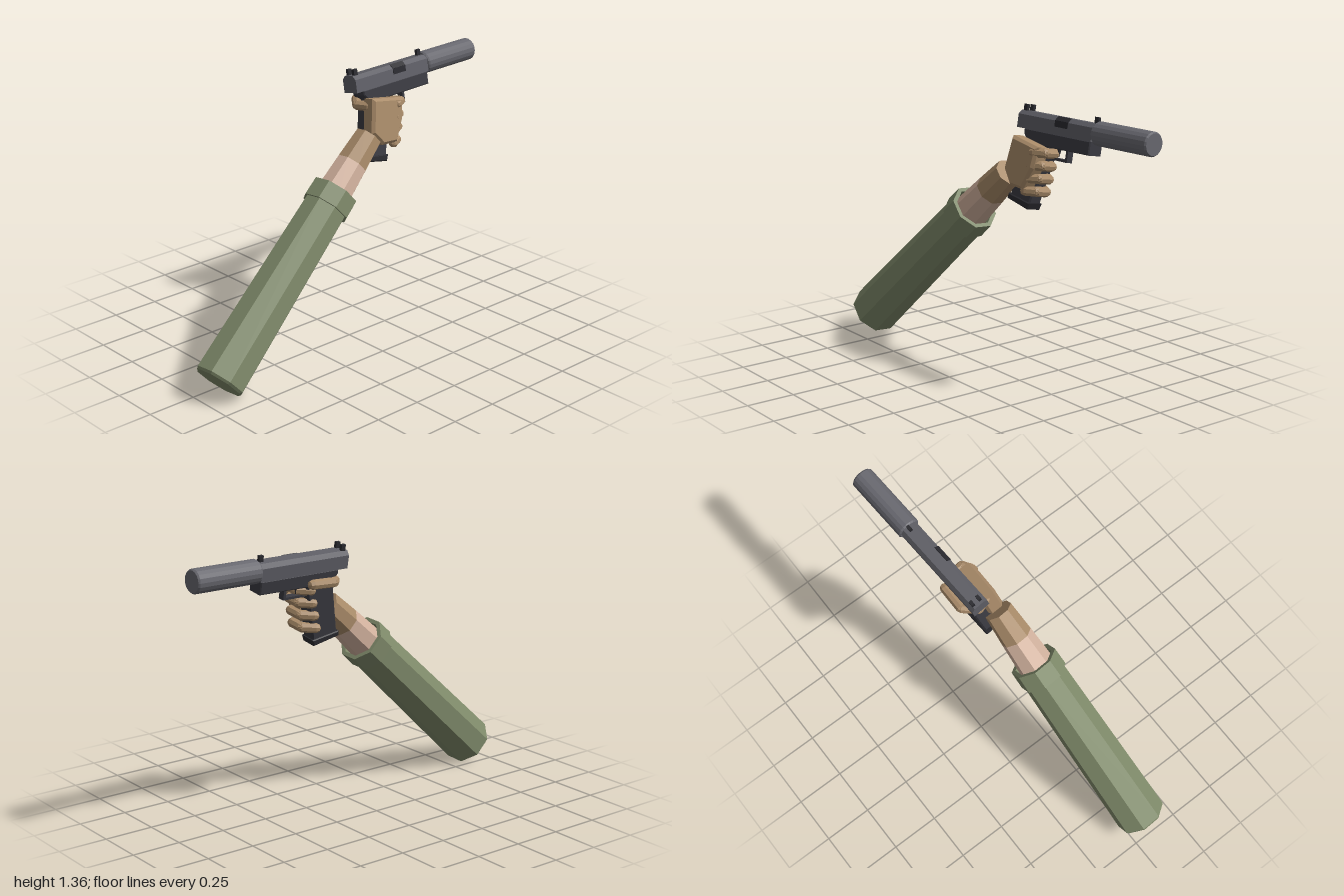
import * as THREE from 'three';

const mat = (name, color) => new THREE.MeshStandardMaterial({ name, color, flatShading: true });
const v3 = (p) => new THREE.Vector3(...p);

export function createModel() {
  const root = new THREE.Group();
  const olive = mat('oliveSleeve', 0x7f8a6a);
  const skin = mat('skin', 0xd2b29e);
  const tan = mat('tanGlove', 0xa98b69);
  const steel = mat('slateSteel', 0x5f5f66);
  const grey = mat('greyTube', 0x68686f);
  const dark = mat('darkFrame', 0x3a3a41);
  const black = mat('blackDetail', 0x2a2a2f);

  const add = (parent, name, geo, m) => {
    const mesh = new THREE.Mesh(geo, m);
    mesh.name = name;
    parent.add(mesh);
    return mesh;
  };

  // Octagonal tube section; radii are measured to the flats
  const octagon = (pts) => new THREE.LatheGeometry(
    pts.map(([r, y]) => new THREE.Vector2(r / Math.cos(Math.PI / 8), y)), 8, Math.PI / 8);

  // Side profile (forward, up) extruded across x, centred
  const sideProfile = (pts, width, bevel = 0.008) => {
    const shape = new THREE.Shape(pts.map(([a, b]) => new THREE.Vector2(a, b)));
    const depth = width - 2 * bevel;
    return new THREE.ExtrudeGeometry(shape, {
      depth, bevelEnabled: bevel > 0, bevelSize: bevel, bevelOffset: -bevel,
      bevelThickness: bevel, bevelSegments: 1,
    }).translate(0, 0, -depth / 2).rotateY(Math.PI / 2);
  };

  // Arm: built upright, then aimed from elbow to wrist
  const arm = new THREE.Group();
  arm.name = 'arm';
  const elbow = v3([0.095, 0.1, 0.92]);
  const wrist = v3([-0.014, 1.05, -0.14]);
  arm.position.copy(elbow);
  arm.quaternion.setFromUnitVectors(v3([0, 1, 0]), wrist.sub(elbow).normalize());
  root.add(arm);
  add(arm, 'sleeve', octagon([[0, 0], [0.112, 0], [0.122, 0.012], [0.105, 1.01], [0, 1.01]]), olive);
  add(arm, 'cuff', octagon([[0.1, 1.0], [0.116, 1.0], [0.114, 1.098], [0.094, 1.098], [0.09, 1.06], [0, 1.06]]), olive);
  add(arm, 'forearm', octagon([[0.086, 1.05], [0.076, 1.26]]), skin);
  add(arm, 'gloveWrist', octagon([[0.076, 1.26], [0.066, 1.428], [0, 1.428]]), tan);

  // Palm, leaning with the grip
  const hand = new THREE.Group();
  hand.name = 'hand';
  root.add(hand);
  const palm = add(hand, 'palm', sideProfile([
    [0.14, -0.055], [0.2, -0.125], [0.3, -0.13], [0.355, -0.02], [0.37, 0.085], [0.17, 0.115],
  ], 0.085, 0.014), tan);
  palm.position.set(-0.028, 1.12, 0);
  palm.rotation.z = 0.18;

  // Chain of faceted capsules through a few joints
  const digit = (name, joints, r) => {
    const g = new THREE.Group();
    g.name = name;
    for (let i = 0; i + 1 < joints.length; i++) {
      const a = v3(joints[i]), b = v3(joints[i + 1]);
      const dir = b.clone().sub(a);
      const seg = add(g, name + 'Segment', new THREE.CapsuleGeometry(r, dir.length(), 2, 8), tan);
      seg.position.copy(a).add(b).multiplyScalar(0.5);
      seg.quaternion.setFromUnitVectors(v3([0, 1, 0]), dir.normalize());
    }
    hand.add(g);
  };
  ['indexFinger', 'middleFinger', 'ringFinger', 'littleFinger'].forEach((name, i) => {
    const y = 1.18 - i * 0.064, z = i * 0.014, x = i * 0.006;
    digit(name, [
      [-0.012 + x, y, -0.335 + z], [-0.042 + x, y, -0.384 + z],
      [-0.105 + x, y - 0.012, -0.378 + z], [-0.14 + x, y - 0.018, -0.318 + z],
    ], 0.025);
  });
  digit('thumb', [
    [-0.055, 1.19, -0.18], [-0.115, 1.187, -0.158], [-0.178, 1.195, -0.21], [-0.178, 1.2, -0.335],
  ], 0.025);

  // Pistol: origin at the rear of the slide, forward is -z
  const pistol = new THREE.Group();
  pistol.name = 'pistol';
  pistol.position.set(-0.128, 1.297, -0.12);
  pistol.rotation.set(0.01, 0.047, 0.18, 'YXZ');
  root.add(pistol);

  // Slide with chamfered top edges
  const section = new THREE.Shape([
    [-0.045, -0.042], [0.045, -0.042], [0.045, 0.024], [0.027, 0.044], [-0.027, 0.044], [-0.045, 0.024],
  ].map(([x, y]) => new THREE.Vector2(x, y)));
  add(pistol, 'slide', new THREE.ExtrudeGeometry(section, { depth: 0.52, bevelEnabled: false })
    .translate(0, 0, -0.52), steel);
  add(pistol, 'ejectionPort', new THREE.BoxGeometry(0.006, 0.03, 0.09)
    .translate(0.044, 0.01, -0.31), black);
  add(pistol, 'ejectionPortTop', new THREE.BoxGeometry(0.028, 0.006, 0.09)
    .rotateZ(-0.838).translate(0.036, 0.034, -0.31), black);

  // Suppressor
  const tube = [[0, 0], [0.052, 0], [0.058, 0.008], [0.058, 0.352], [0.052, 0.36], [0, 0.36]];
  add(pistol, 'suppressor', new THREE.LatheGeometry(tube.map(([r, y]) => new THREE.Vector2(r, y)), 18)
    .rotateX(-Math.PI / 2).translate(0, 0, -0.52), grey);

  // Frame, grip and magazine
  add(pistol, 'frame', sideProfile([
    [0.05, -0.04], [0.05, -0.065], [0.09, -0.11], [0.515, -0.107], [0.515, -0.04],
  ], 0.084, 0.005), dark);
  add(pistol, 'grip', sideProfile([
    [0.075, -0.09], [0.005, -0.375], [0.15, -0.405], [0.235, -0.1],
  ], 0.076), dark);
  add(pistol, 'magazineBase', sideProfile([
    [0.0, -0.365], [-0.006, -0.392], [0.146, -0.424], [0.16, -0.392],
  ], 0.088, 0.005), black);

  // Trigger guard loop and trigger
  const rect = (C, x0, y0, x1, y1) => new C([[x0, y0], [x1, y0], [x1, y1], [x0, y1]]
    .map(([x, y]) => new THREE.Vector2(x, y)));
  const guard = rect(THREE.Shape, 0.22, -0.165, 0.352, -0.1);
  guard.holes.push(rect(THREE.Path, 0.235, -0.153, 0.338, -0.106));
  add(pistol, 'triggerGuard', new THREE.ExtrudeGeometry(guard, { depth: 0.034, bevelEnabled: false })
    .translate(0, 0, -0.017).rotateY(Math.PI / 2), dark);
  add(pistol, 'trigger', new THREE.BoxGeometry(0.014, 0.045, 0.012)
    .rotateX(-0.25).translate(0, -0.125, -0.27), black);

  // Sights
  for (const x of [-0.02, 0.02]) {
    add(pistol, 'rearSight', new THREE.BoxGeometry(0.016, 0.034, 0.024).translate(x, 0.057, -0.025), black);
  }
  add(pistol, 'frontSight', new THREE.BoxGeometry(0.016, 0.034, 0.024).translate(0, 0.057, -0.502), black);

  return root;
}
